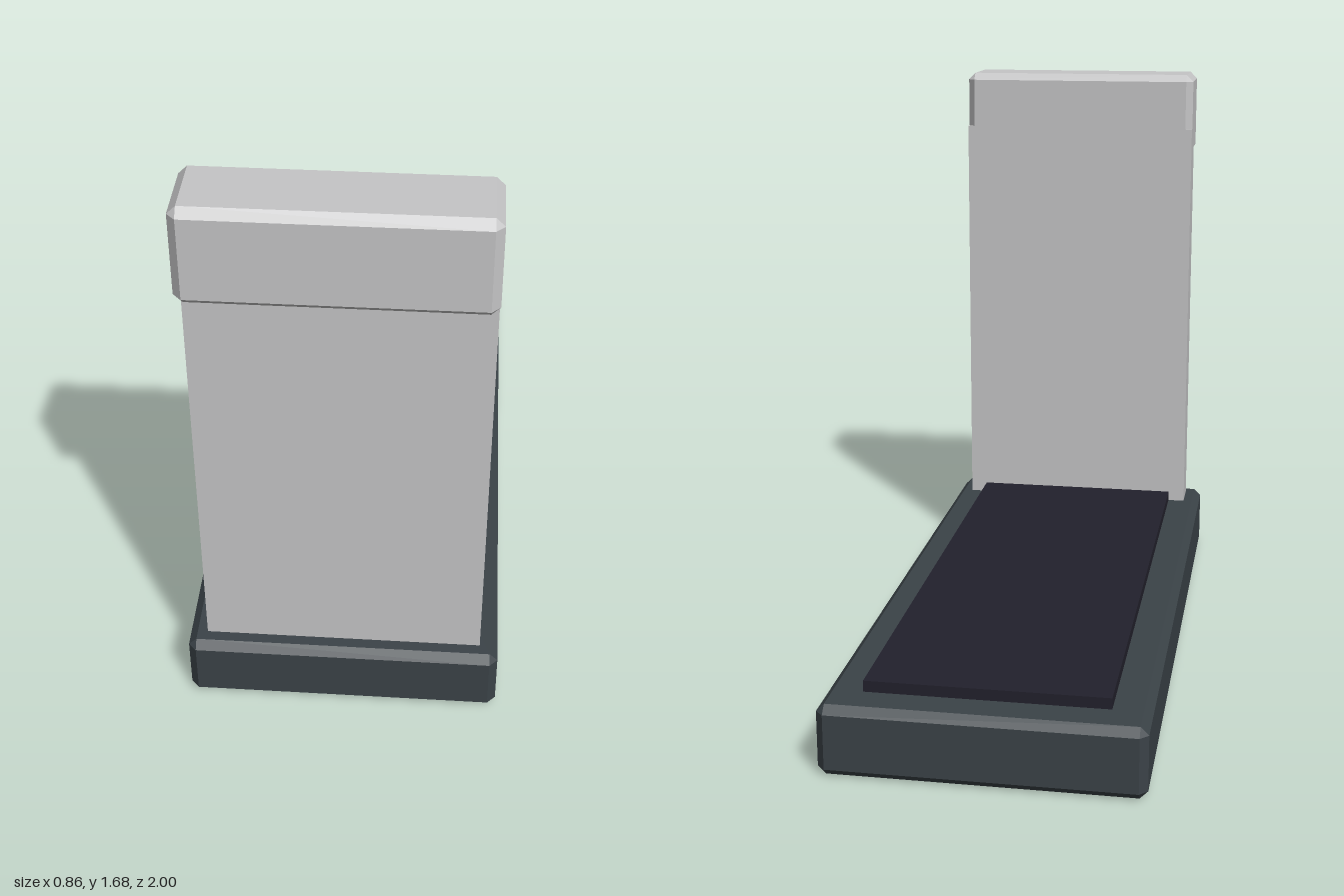
import * as THREE from 'three';
import { ConvexGeometry } from 'three/addons/geometries/ConvexGeometry.js';

const material = (name, color) => {
  const m = new THREE.MeshStandardMaterial({ color });
  m.name = name;
  return m;
};

// Box between two corners with every edge chamfered by c
function chamferBox(min, max, c) {
  const points = [];
  for (const x of [0, 1]) for (const y of [0, 1]) for (const z of [0, 1]) {
    const side = [x, y, z];
    for (let full = 0; full < 3; full++) {
      points.push(new THREE.Vector3(...side.map((s, i) => {
        const inset = i === full ? 0 : c;
        return s ? max[i] - inset : min[i] + inset;
      })));
    }
  }
  return new ConvexGeometry(points);
}

// Plain box between two corners
function plainBox(min, max) {
  const size = max.map((v, i) => v - min[i]);
  const mid = max.map((v, i) => (v + min[i]) / 2);
  return new THREE.BoxGeometry(...size).translate(...mid);
}

export function createModel() {
  const group = new THREE.Group();
  const slate = material('slate', 0x3b4348);
  const darkMat = material('dark belt', 0x22212c);
  const lightGrey = material('light grey', 0xc5c5c6);

  const add = (name, geometry, mat) => {
    const mesh = new THREE.Mesh(geometry, mat);
    mesh.name = name;
    group.add(mesh);
  };

  // Deck lying on the ground, with the running belt on top
  add('deck', chamferBox([-0.43, 0, -1], [0.43, 0.197, 0.945], 0.022), slate);
  add('belt', plainBox([-0.327, 0.17, -0.893], [0.327, 0.228, 0.8]), darkMat);

  // Upright panel and the console block overhanging its front
  add('upright', plainBox([-0.38, 0.17, 0.785], [0.38, 1.5, 0.893]), lightGrey);
  add('console', chamferBox([-0.38, 1.41, 0.785], [0.38, 1.677, 1], 0.022), lightGrey);

  return group;
}
